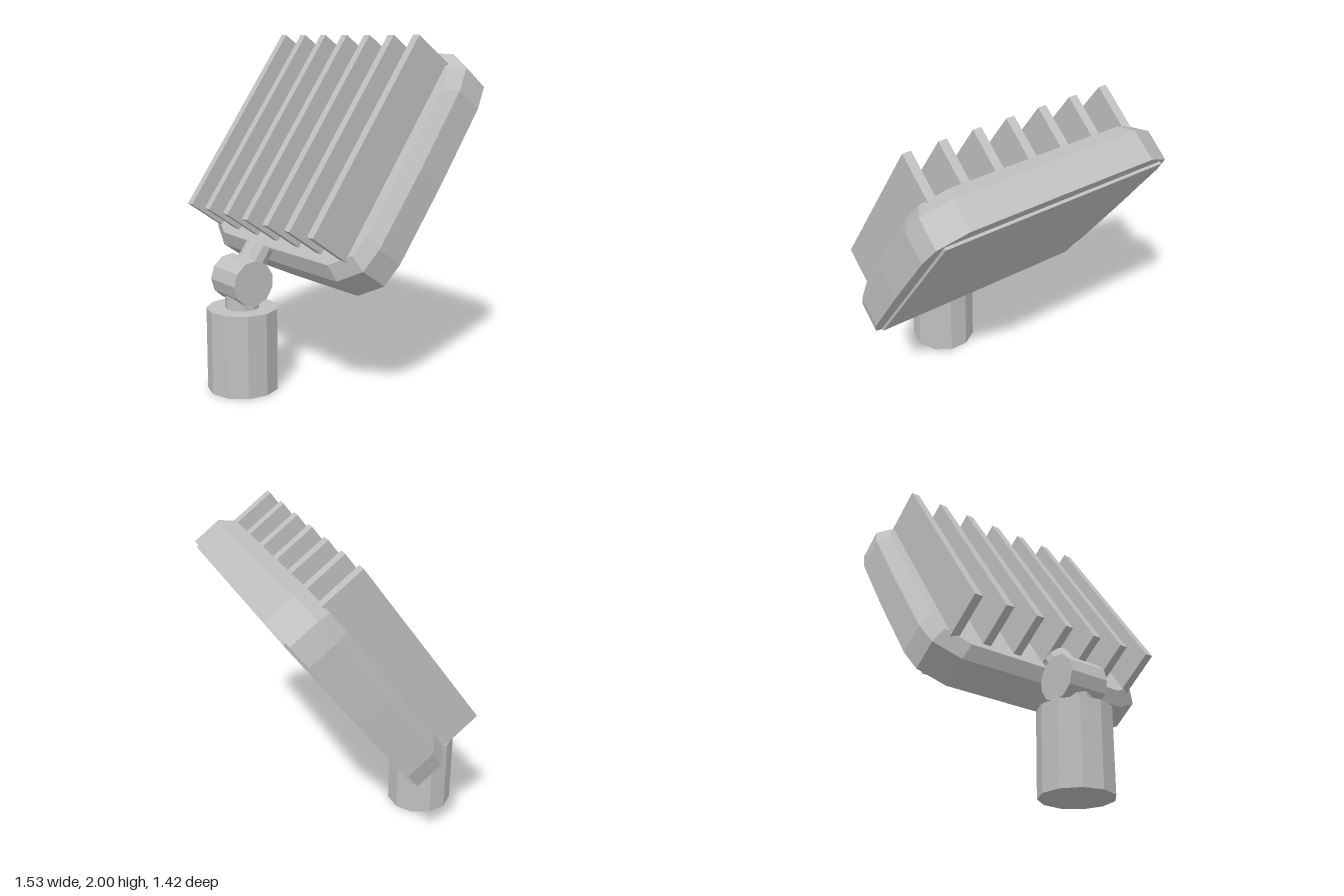
import * as THREE from 'three';

const SIDES = 11;
const TILT = -THREE.MathUtils.degToRad(35);

// Closed solid from rings of one outline: each ring is [depth, scale]
function ringSolid(outline, rings) {
  const n = outline.length;
  const pos = [];
  const index = [];
  for (const [z, s] of rings) for (const [x, y] of outline) pos.push(x * s, y * s, z);
  for (let r = 0; r < rings.length - 1; r++) {
    for (let i = 0; i < n; i++) {
      const a = r * n + i, b = r * n + (i + 1) % n;
      index.push(a, b, b + n, a, b + n, a + n);
    }
  }
  // end caps
  const last = (rings.length - 1) * n;
  for (let i = 1; i < n - 1; i++) {
    index.push(0, i + 1, i);
    index.push(last, last + i, last + i + 1);
  }
  const g = new THREE.BufferGeometry();
  g.setAttribute('position', new THREE.Float32BufferAttribute(pos, 3));
  g.setIndex(index);
  g.computeVertexNormals();
  return g;
}

export function createModel() {
  const model = new THREE.Group();
  model.name = 'floodlight';
  const grey = new THREE.MeshStandardMaterial({ color: 0xc0c0c0, flatShading: true });
  grey.name = 'light grey metal';

  const add = (parent, name, geometry, x = 0, y = 0, z = 0) => {
    const mesh = new THREE.Mesh(geometry, grey);
    mesh.name = name;
    mesh.position.set(x, y, z);
    parent.add(mesh);
    return mesh;
  };
  const rod = (r, h) => new THREE.CylinderGeometry(r, r, h, SIDES);

  // Base, neck and swivel joint
  const baseZ = 0.507, jointY = 0.637;
  add(model, 'base', rod(0.204, 0.477), 0, 0.2385, baseZ);
  add(model, 'neck', rod(0.098, 0.16), 0, 0.55, baseZ);
  add(model, 'joint', rod(0.13, 0.244), 0, jointY, baseZ).rotation.z = Math.PI / 2;

  // Arm leaning back from the joint
  const arm = new THREE.Group();
  arm.name = 'arm';
  arm.position.set(0, jointY, baseZ);
  arm.rotation.x = TILT;
  add(arm, 'armRod', rod(0.082, 0.22), 0, 0.11, 0);
  model.add(arm);

  // Tilted lamp head, local z pointing out of the finned side
  const head = new THREE.Group();
  head.name = 'head';
  head.position.set(0, 1.197, -0.289);
  head.rotation.x = TILT;
  model.add(head);

  // Housing: slightly bulging rounded rectangle with a chamfered rim
  const quarter = [[0.763, 0], [0.755, 0.49], [0.72, 0.63], [0.566, 0.724], [0, 0.729]];
  const half = [...quarter, ...quarter.slice(0, -1).reverse().map(([x, y]) => [-x, y])];
  const outline = [...half, ...half.slice(1, -1).reverse().map(([x, y]) => [x, -y])];
  add(head, 'housing', ringSolid(outline, [[0, 1], [0.18, 1], [0.252, 0.925]]));

  // Flat lens plate on the back
  add(head, 'lens', new THREE.BoxGeometry(1.356, 1.27, 0.04), 0, 0, 0.004);

  // Cooling fins
  for (let i = -3; i <= 3; i++) {
    add(head, 'fin', new THREE.BoxGeometry(0.05, 1.244, 0.281), i * 0.204, 0, 0.3705);
  }
  return model;
}
